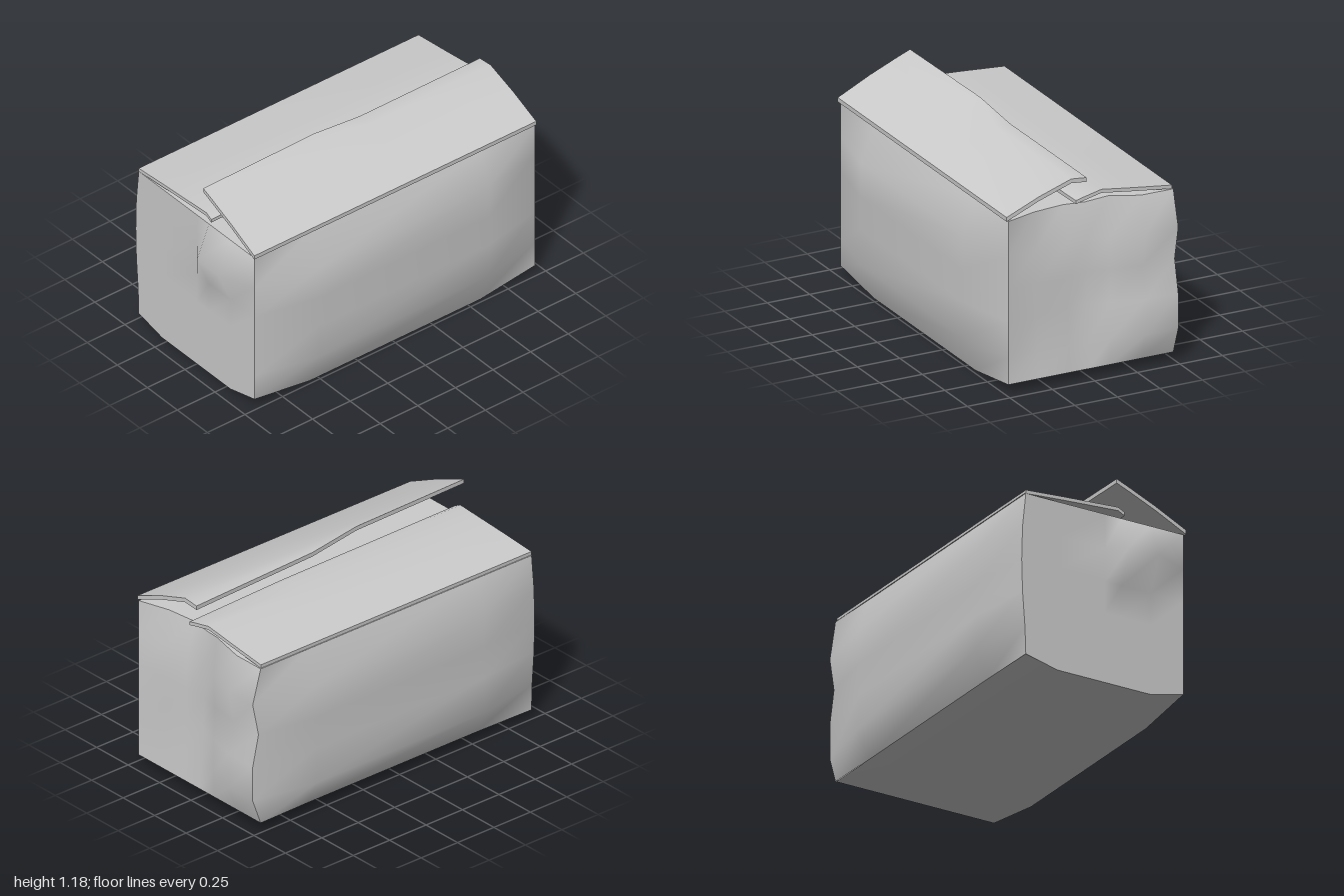
import * as THREE from 'three';
import { mergeGeometries } from 'three/addons/utils/BufferGeometryUtils.js';

const material = new THREE.MeshStandardMaterial({ color: 0xcccccc, side: THREE.DoubleSide });
const levels = [0.965, 0.77, 0.58, 0.4, 0.2, 0];

// Surface through a grid of points: rows run downwards, columns left to right, seen from outside
function patch(rows) {
  const n = rows[0].length, index = [];
  for (let r = 0; r < rows.length - 1; r++) {
    for (let c = 0; c < n - 1; c++) {
      const a = r * n + c, b = a + n;
      index.push(a, b, a + 1, b, b + 1, a + 1);
    }
  }
  const geometry = new THREE.BufferGeometry();
  geometry.setAttribute('position', new THREE.Float32BufferAttribute(rows.flat(2), 3));
  geometry.setIndex(index);
  geometry.computeVertexNormals();
  return geometry;
}

// A sheet of card with thickness: top, underside and four cut edges
function slab(rows, t) {
  const drop = (line) => line.map(([x, y, z]) => [x, y - t, z]);
  const column = (i) => rows.map((row) => row.at(i));
  const skirt = (line) => patch([line, drop(line)]);
  return mergeGeometries([
    patch(rows),
    patch(rows.map((row) => drop(row).reverse())),
    skirt(rows.at(-1)),
    skirt([...rows[0]].reverse()),
    skirt(column(0)),
    skirt(column(-1).reverse()),
  ]);
}

// Turn a list of columns into rows
const transpose = (columns) => columns[0].map((_, i) => columns.map((col) => col[i]));

// A vertical line of the wall; x, z are numbers or functions of the level number
const value = (v, i) => (typeof v === 'function' ? v(i) : v);
const line = (x, z, bottom = 0, top = 0.965) =>
  levels.map((y, i) => [value(x, i), i === 5 ? bottom : i === 0 ? top : y, value(z, i)]);

export function createModel() {
  const group = new THREE.Group();
  const add = (name, geometry) => {
    const mesh = new THREE.Mesh(geometry, material);
    mesh.name = name;
    group.add(mesh);
  };
  const pick = (list) => (i) => list[i];

  // Vertical corners; the back right-hand-side one at -x is crumpled
  const frontLeft = line(0.48, 0.92, 0.05);
  const frontRight = line(pick([-0.485, -0.505, -0.51, -0.505, -0.49, -0.485]), 0.92, 0.045);
  const backLeft = line(0.48, -0.945, 0.05);
  const backRight = line(-0.49, pick([-0.945, -1, -0.96, -1, -1, -0.945]), 0.05);

  // Front wall with a pushed-out dent
  const bump = pick([0.92, 1, 0.92, 0.92, 0.92, 0.92]);
  add('frontWall', patch(transpose([
    frontRight, line(-0.29, 0.92), line(0, 0.92), line(0.1, bump), line(0.28, bump), frontLeft,
  ])));

  // Back wall with vertical buckles
  const backColumns = [
    backLeft,
    line(0.3, pick([-0.89, -0.92, -0.925, -0.925, -0.93, -0.945]), 0.05),
    line(0.12, pick([-0.87, -0.92, -0.93, -0.93, -0.94, -0.945]), 0.05),
    line(0, pick([-0.89, -0.91, -0.91, -0.915, -0.93, -0.945]), 0.05),
    line(-0.12, pick([-0.925, -0.95, -0.94, -0.95, -0.95, -0.945]), 0.05, 0.99),
    line(-0.3, pick([-0.945, -1, -0.965, -1, -1, -0.945]), 0.05),
    backRight,
  ];
  add('backWall', patch(transpose(backColumns)));

  // Bulging long walls
  const leftBulge = pick([0.48, 0.557, 0.557, 0.557, 0.557, 0.48]);
  add('leftWall', patch(transpose([
    frontLeft, line(leftBulge, 0.55), line(leftBulge, -0.58), backLeft,
  ])));
  const rightBulge = pick([-0.485, -0.55, -0.55, -0.55, -0.56, -0.485]);
  add('rightWall', patch(transpose([
    backRight, line(rightBulge, -0.62, 0.05), line(rightBulge, 0.54, 0.05), frontRight,
  ])));

  // Sagging bottom, lifted at the corners and along two edges
  const bottomX = [-0.485, -0.29, 0.28, 0.48], bottomZ = [0.92, 0.55, -0.58, -0.945];
  add('bottom', patch(bottomZ.map((z, r) => bottomX.map((x, c) =>
    [x, r === 3 || c === 0 || (r === 0 && c === 3) ? 0.05 : 0, z]))));

  // Inner closure under the flaps
  const backRim = backColumns.map((col) => col[0]).reverse();
  add('innerTop', patch([backRim, backRim.map(([x]) => [x, 0.965, 0.92])]));

  // Lower top flap, nearly flat, with a bent free edge
  const lowerFlap = [
    [-0.94, [-0.485, 0.985], [-0.25, 1.015], [-0.07, 1.04], [0.04, 1.015], [0.08, 1.005]],
    [-0.3, [-0.485, 0.985], [-0.25, 1.013], [-0.07, 1.036], [0.06, 1.025], [0.1, 1.01]],
    [0.92, [-0.485, 0.985], [-0.25, 1.003], [-0.07, 1.015], [0.08, 1.025], [0.12, 1.005]],
  ];
  // Raised top flap, bent down towards the back
  const raisedFlap = [
    [-0.945, [0.02, 1.125], [0.11, 1.134], [0.3, 1.07], [0.49, 0.99]],
    [-0.13, [0.04, 1.14], [0.12, 1.137], [0.3, 1.075], [0.49, 0.99]],
    [0.18, [0.05, 1.178], [0.13, 1.15], [0.3, 1.08], [0.49, 0.99]],
    [0.93, [0.065, 1.18], [0.14, 1.15], [0.3, 1.082], [0.49, 0.99]],
  ];
  const sheet = (rows) => rows.map(([z, ...points]) => points.map(([x, y]) => [x, y, z]));
  add('lowerFlap', slab(sheet(lowerFlap), 0.02));
  add('raisedFlap', slab(sheet(raisedFlap), 0.024));
  return group;
}
